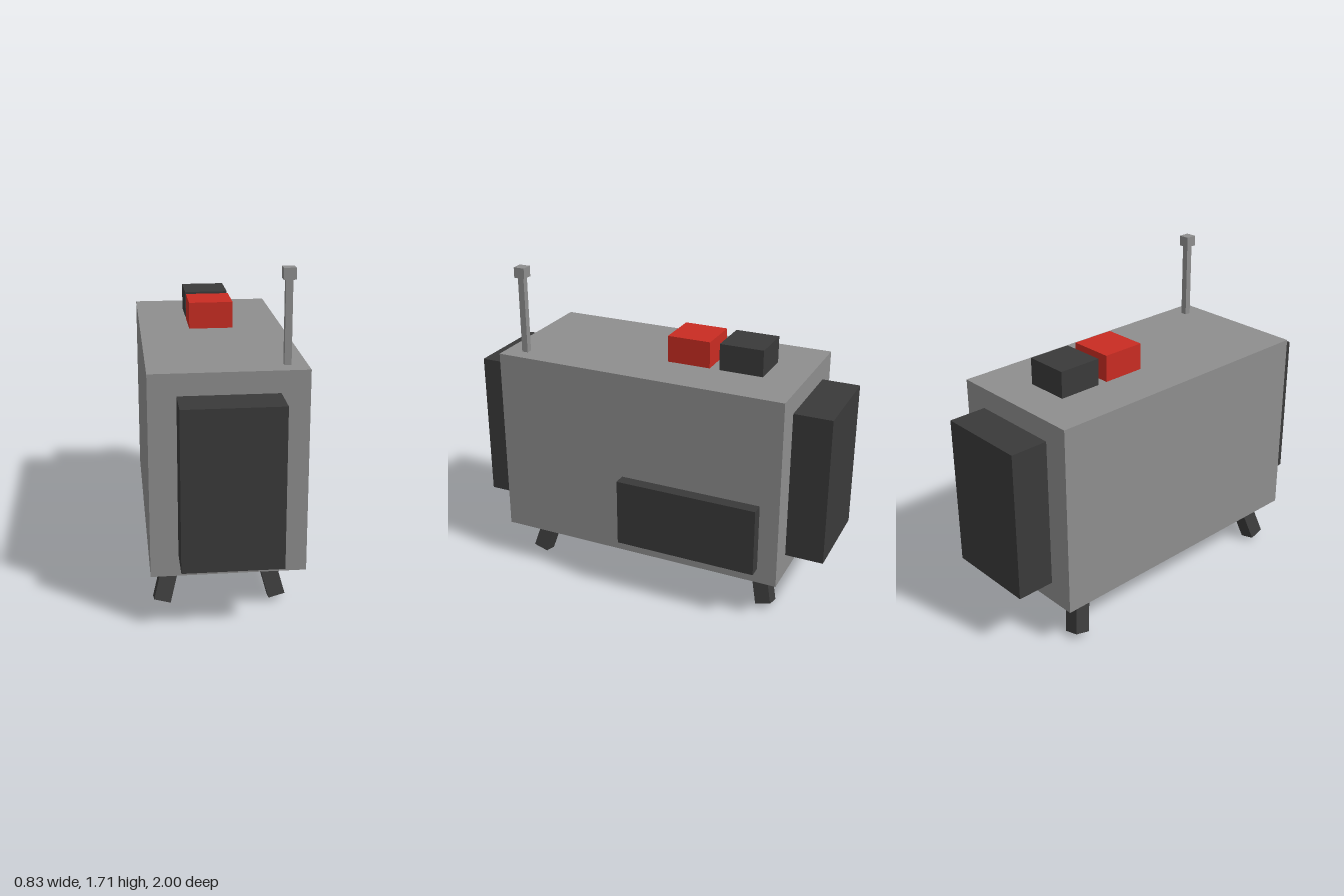
import * as THREE from 'three';

export function createModel() {
  const model = new THREE.Group();
  const mat = (name, color) => {
    const m = new THREE.MeshStandardMaterial({ color });
    m.name = name;
    return m;
  };
  const grey = mat('grey', 0x8e8e8e);
  const dark = mat('charcoal', 0x3a3a3a);
  const red = mat('red', 0xc92c22);

  // Box given by its min and max on each axis
  const box = (name, material, [x0, x1], [y0, y1], [z0, z1]) => {
    const mesh = new THREE.Mesh(new THREE.BoxGeometry(x1 - x0, y1 - y0, z1 - z0), material);
    mesh.position.set((x0 + x1) / 2, (y0 + y1) / 2, (z0 + z1) / 2);
    mesh.name = name;
    model.add(mesh);
  };

  // Main housing with end blocks and side panel
  box('body', grey, [-0.417, 0.352], [0.217, 1.246], [-0.797, 0.797]);
  box('frontBlock', dark, [-0.28, 0.212], [0.33, 1.136], [0.797, 1]);
  box('backBlock', dark, [-0.28, 0.212], [0.33, 1.136], [-1, -0.797]);
  box('sidePanel', dark, [0.352, 0.417], [0.298, 0.666], [-0.693, 0.078]);

  // Buttons on the roof
  box('redButton', red, [-0.152, 0.083], [1.246, 1.388], [-0.3, -0.065]);
  box('darkButton', dark, [-0.152, 0.083], [1.246, 1.388], [-0.589, -0.353]);

  // Antenna
  box('antennaPost', grey, [0.239, 0.273], [1.246, 1.657], [0.671, 0.705]);
  box('antennaCap', grey, [0.226, 0.286], [1.655, 1.711], [0.658, 0.718]);

  // Splayed legs, each running from its foot up into the body
  const length = 0.26;
  const legGeometry = new THREE.BoxGeometry(0.085, length, 0.085);
  for (const sx of [-1, 1]) {
    for (const sz of [-1, 1]) {
      const up = new THREE.Vector3(-0.27 * sx, 1, -0.27 * sz).normalize();
      const leg = new THREE.Mesh(legGeometry, dark);
      leg.name = (sz > 0 ? 'front' : 'back') + (sx > 0 ? 'Left' : 'Right') + 'Leg';
      leg.quaternion.setFromUnitVectors(new THREE.Vector3(0, 1, 0), up);
      leg.position.set(-0.068 + 0.291 * sx, 0.022, -0.02 + 0.685 * sz).addScaledVector(up, length / 2);
      model.add(leg);
    }
  }
  return model;
}
